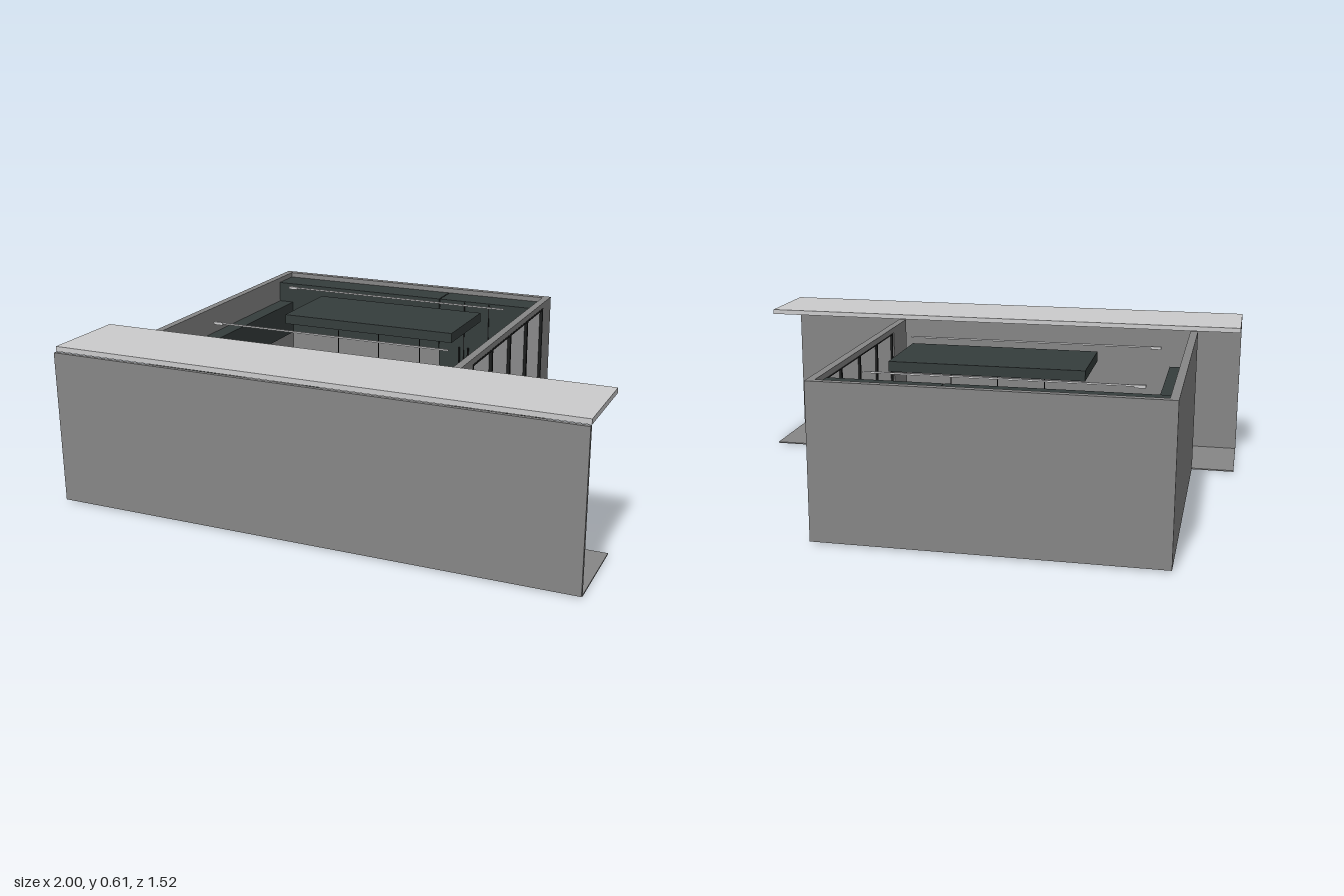
import * as THREE from 'three';

const mat = (name, color) => {
  const m = new THREE.MeshStandardMaterial({ color });
  m.name = name;
  return m;
};

export function createModel() {
  const grey = mat('wall grey', 0x868686);
  const light = mat('light panel', 0xcbcbcc);
  const dark = mat('dark cabinet', 0x353d3c);
  const black = mat('black', 0x1c1d1d);
  const model = new THREE.Group();
  model.name = 'kitchenRoom';

  // Box given by its limits on each axis
  const box = (name, m, x0, x1, y0, y1, z0, z1, parent = model) => {
    const mesh = new THREE.Mesh(new THREE.BoxGeometry(x1 - x0, y1 - y0, z1 - z0), m);
    mesh.position.set((x0 + x1) / 2, (y0 + y1) / 2, (z0 + z1) / 2);
    mesh.name = name;
    parent.add(mesh);
    return mesh;
  };
  const rod = (name, m, r, x, y0, y1, z, sides = 16, parent = model) => {
    const mesh = new THREE.Mesh(new THREE.CylinderGeometry(r, r, y1 - y0, sides), m);
    mesh.position.set(x, (y0 + y1) / 2, z);
    mesh.name = name;
    parent.add(mesh);
  };
  const group = (name) => {
    const g = new THREE.Group();
    g.name = name;
    model.add(g);
    return g;
  };

  // Front passage: floor, outer wall and roof
  box('passageFloor', grey, -1, 1, 0, 0.005, 0.41, 0.745);
  box('frontWall', grey, -1, 1, 0.005, 0.585, 0.745, 0.76);
  box('passageRoof', light, -1, 1, 0.586, 0.605, 0.41, 0.745);

  // Room shell, open to the passage
  box('floorBase', black, -0.8, 0.4, 0, 0.005, -0.735, 0.41);
  box('floor', grey, -0.8, 0.4, 0.005, 0.009, -0.735, 0.41);
  box('backWall', grey, -0.83, 0.43, 0.006, 0.585, -0.762, -0.735);
  box('rightWall', grey, -0.83, -0.8, 0.006, 0.585, -0.735, 0.41);

  // Window wall with its opening
  const wz = [-0.65, 0.225], wy = [0.03, 0.563];
  const wall = group('windowWall');
  box('wallBelow', grey, 0.4, 0.43, 0.006, wy[0], -0.735, 0.41, wall);
  box('wallAbove', grey, 0.4, 0.43, wy[1], 0.585, -0.735, 0.41, wall);
  box('wallBehind', grey, 0.4, 0.43, wy[0], wy[1], -0.735, wz[0], wall);
  box('wallAhead', grey, 0.4, 0.43, wy[0], wy[1], wz[1], 0.41, wall);

  // Window frame and panes
  const win = group('window');
  box('pane', light, 0.413, 0.419, wy[0], wy[1], wz[0], wz[1], win);
  for (const y of [wy[0], wy[1] - 0.008]) box('rail', black, 0.405, 0.431, y, y + 0.008, wz[0], wz[1], win);
  for (const z of [-0.646, -0.433, -0.213, 0.008, 0.221]) {
    const h = Math.abs(z) > 0.22 && z !== -0.433 ? 0.004 : 0.006;
    box('mullion', black, 0.405, 0.431, wy[0], wy[1], z - h, z + h, win);
  }

  // Floor slots
  for (const z of [-0.49, -0.25, -0.01, 0.23]) box('floorSlot', black, 0.001, 0.009, 0.002, 0.0105, z - 0.06, z + 0.06);

  // Back cabinets: base, worktop, uppers, and a tall unit
  const back = group('backCabinets');
  box('base', dark, -0.8, -0.025, 0.009, 0.2, -0.735, -0.62, back);
  box('worktop', light, -0.8, -0.025, 0.2, 0.215, -0.735, -0.615, back);
  box('upperCabinet', dark, -0.8, -0.025, 0.34, 0.565, -0.735, -0.615, back);
  box('tallUnit', dark, -0.021, 0.4, 0.009, 0.565, -0.735, -0.615, back);
  for (const x of [0.09, 0.2]) box('doorGap', black, x, x + 0.004, 0.02, 0.56, -0.615, -0.612, back);
  for (const x of [0.07, 0.11]) box('handle', black, x, x + 0.006, 0.2, 0.36, -0.615, -0.607, back);

  // Side counter with cooktop, oven and uppers
  const side = group('sideCounter');
  box('base', light, -0.8, -0.68, 0.009, 0.2, -0.615, 0.2, side);
  box('worktop', light, -0.8, -0.67, 0.2, 0.215, -0.615, 0.2, side);
  box('upperCabinet', dark, -0.8, -0.735, 0.34, 0.48, -0.615, 0.2, side);
  box('cooktop', dark, -0.728, -0.692, 0.215, 0.219, -0.17, -0.02, side);
  box('oven', black, -0.68, -0.675, 0.05, 0.18, -0.17, -0.02, side);

  // Hanging ceiling panel and island below it
  box('ceilingPanel', dark, -0.48, 0.24, 0.545, 0.583, -0.397, -0.06);
  box('islandBase', dark, -0.4, 0.16, 0.009, 0.2, -0.33, -0.16);
  box('islandTop', light, -0.44, 0.2, 0.2, 0.215, -0.36, -0.12);

  // Pendant lamps and stools, three of each
  for (const x of [-0.3, -0.12, 0.06]) {
    rod('pendantCord', black, 0.002, x, 0.38, 0.546, -0.18, 6);
    rod('pendantLamp', black, 0.014, x, 0.3, 0.38, -0.18);
    const stool = group('stool');
    rod('seat', black, 0.036, x, 0.13, 0.142, -0.083, 20, stool);
    rod('post', black, 0.006, x, 0.015, 0.13, -0.083, 10, stool);
    rod('foot', black, 0.028, x, 0.009, 0.015, -0.083, 20, stool);
  }

  // Lighting tracks near ceiling height
  for (const z of [-0.53, 0.12]) {
    box('lightTrack', light, -0.7, 0.295, 0.568, 0.574, z - 0.003, z + 0.003);
    box('trackEnd', light, -0.705, -0.665, 0.564, 0.575, z - 0.006, z + 0.006);
  }
  return model;
}
